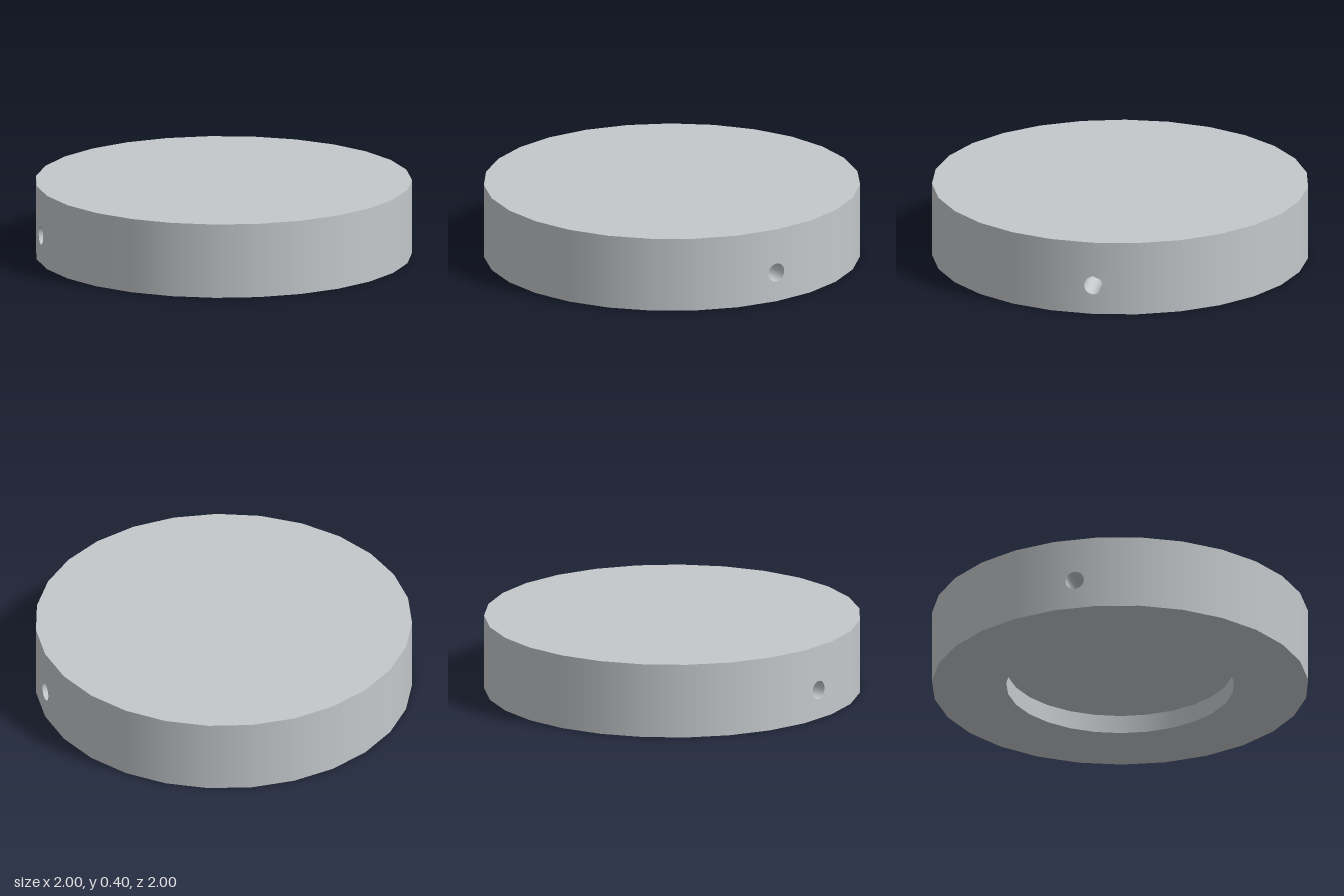
import * as THREE from 'three';

const SIDES = 27, STEP = (Math.PI * 2) / SIDES;
const HEIGHT = 0.4, RECESS_R = 0.605, RECESS_TOP = 0.1;
const HOLE_R = 0.05, HOLE_Y = 0.16, HOLE_FLOOR = 0.75;

// Surface of revolution with a corner on +x; sweeps `count` sides from side `first`
function turned(profile, first = 0, count = SIDES) {
  const points = profile.map(([r, y]) => new THREE.Vector2(r, y));
  return new THREE.LatheGeometry(points, count, Math.PI / 2 + first * STEP, count * STEP);
}

// Piece of the rim wall around +x, pierced by a round hole
function piercedWall(halfAngle, corners) {
  const outline = [
    ...corners.map(a => new THREE.Vector2(a * halfAngle, 0)),
    ...corners.map(a => new THREE.Vector2(-a * halfAngle, HEIGHT)),
  ];
  const shape = new THREE.Shape(outline);
  const ring = [];
  for (let i = 0; i < 24; i++) {
    const t = (i / 24) * Math.PI * 2;
    ring.push(new THREE.Vector2(Math.asin(HOLE_R * Math.cos(t)), HOLE_Y + HOLE_R * Math.sin(t)));
  }
  shape.holes.push(new THREE.Path(ring));
  const geo = new THREE.ShapeGeometry(shape);
  const pos = geo.attributes.position, nor = geo.attributes.normal;
  // Wrap the flat piece around the rim
  for (let i = 0; i < pos.count; i++) {
    const a = pos.getX(i);
    pos.setXYZ(i, Math.cos(a), pos.getY(i), -Math.sin(a));
    nor.setXYZ(i, Math.cos(a), 0, -Math.sin(a));
  }
  return geo;
}

// Blind hole along x: bore or floor, its mouth trimmed to the rim
function pocket(profile) {
  const points = profile.map(([r, y]) => new THREE.Vector2(r, y));
  const geo = new THREE.LatheGeometry(points, 24);
  geo.rotateZ(-Math.PI / 2);
  const pos = geo.attributes.position;
  for (let i = 0; i < pos.count; i++) {
    if (pos.getX(i) > 0.99) pos.setX(i, Math.sqrt(1 - pos.getZ(i) ** 2));
  }
  return geo.translate(0, HOLE_Y, 0);
}

export function createModel() {
  const model = new THREE.Group();
  model.name = 'roundCap';
  const metal = new THREE.MeshStandardMaterial({ color: 0xc4c8cb });
  metal.name = 'lightGreyMetal';

  const add = (name, geo, parent = model) => {
    const mesh = new THREE.Mesh(geo, metal);
    mesh.name = name;
    parent.add(mesh);
  };

  // Flat faces and the shallow recess underneath
  add('topFace', turned([[1, HEIGHT], [0, HEIGHT]]));
  add('bottomRing', turned([[RECESS_R, 0], [1, 0]]));
  add('recessWall', turned([[RECESS_R, RECESS_TOP], [RECESS_R, 0]]));
  add('recessCeiling', turned([[0, RECESS_TOP], [RECESS_R, RECESS_TOP]]));

  // Plain rim wall on either side of the holes
  const wall = [[1, 0], [1, HEIGHT]];
  add('backWall', turned(wall, 1, 12));
  add('frontWall', turned(wall, 14, 12));

  // Holed rim pieces: two sides wide on the left, one on the right
  const ends = [
    ['left', STEP, [-1, 0, 1], 0],
    ['right', STEP / 2, [-1, 1], Math.PI],
  ];
  for (const [side, halfAngle, corners, turn] of ends) {
    const end = new THREE.Group();
    end.name = side + 'HoledEnd';
    end.rotation.y = turn;
    add(side + 'Wall', piercedWall(halfAngle, corners), end);
    add(side + 'HoleBore', pocket([[HOLE_R, 1], [HOLE_R, HOLE_FLOOR]]), end);
    add(side + 'HoleFloor', pocket([[HOLE_R, HOLE_FLOOR], [0, HOLE_FLOOR]]), end);
    model.add(end);
  }
  return model;
}
